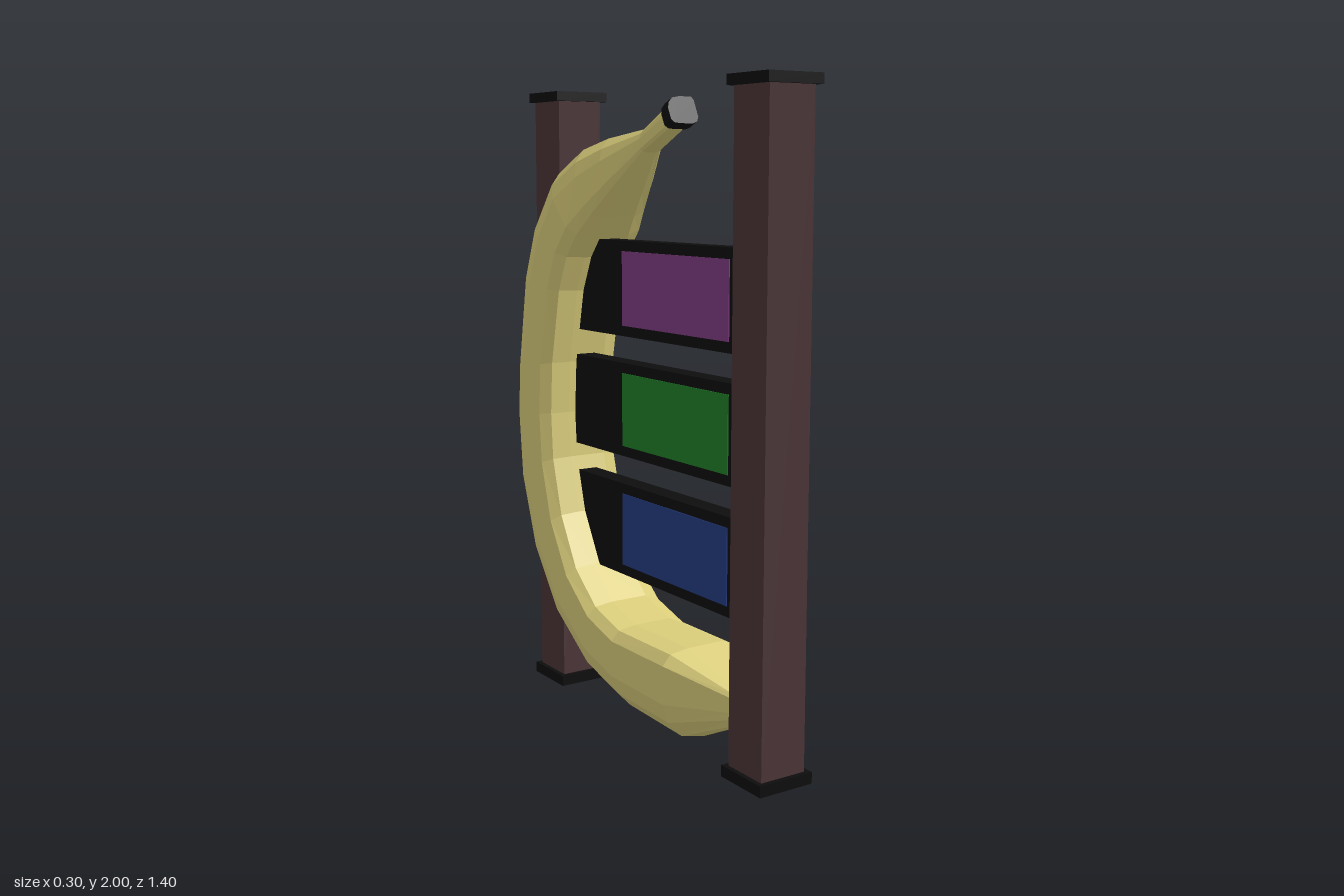
import * as THREE from 'three';

const mat = (color) => new THREE.MeshStandardMaterial({ color, flatShading: true });
const YELLOW = mat(0xd9cc7a), BLACK = mat(0x0d0d0d), WOOD = mat(0x4a3436);

// Cross-section: x as a fraction of the half width, s from inner (0) to outer (1) side of the curve
const SECTION = [
  [-0.82, 0.03], [-0.4, 0], [0.47, 0], [0.82, 0.08], [1, 0.25], [1, 0.88], [0.86, 1],
  [0, 1], [-0.53, 0.94], [-0.86, 0.76], [-1, 0.55], [-1, 0.14],
];

// Skins the section along stations [innerZ, innerY, outerZ, outerY, halfWidth]
function loft(name, stations, material) {
  const n = SECTION.length, pos = [], index = [];
  for (const [iz, iy, oz, oy, w] of stations) {
    for (const [x, s] of SECTION) pos.push(x * w, iy + (oy - iy) * s, iz + (oz - iz) * s);
  }
  for (let i = 0; i < stations.length - 1; i++) {
    for (let j = 0; j < n; j++) {
      const a = i * n + j, b = i * n + (j + 1) % n;
      index.push(a, b, a + n, b, b + n, a + n);
    }
  }
  const last = (stations.length - 1) * n;
  for (let j = 1; j < n - 1; j++) {
    index.push(0, j + 1, j, last, last + j, last + j + 1);
  }
  const geo = new THREE.BufferGeometry();
  geo.setAttribute('position', new THREE.Float32BufferAttribute(pos, 3));
  geo.setIndex(index);
  geo.computeVertexNormals();
  const mesh = new THREE.Mesh(geo, material);
  mesh.name = name;
  return mesh;
}

// Box given by its minimum and maximum corners
function box(name, min, max, material) {
  const size = max.map((v, i) => v - min[i]);
  const mesh = new THREE.Mesh(new THREE.BoxGeometry(...size), material);
  mesh.position.set(...max.map((v, i) => (v + min[i]) / 2));
  mesh.name = name;
  return mesh;
}

// Square post with a thin cap at both ends
function post(name, z) {
  const g = new THREE.Group();
  g.name = name;
  g.add(
    box('postShaft', [-0.08, 0.03, z - 0.078], [0.075, 1.97, z + 0.078], WOOD),
    box('postFoot', [-0.095, 0, z - 0.093], [0.092, 0.035, z + 0.093], BLACK),
    box('postCap', [-0.095, 1.97, z - 0.093], [0.092, 2, z + 0.093], BLACK),
  );
  return g;
}

export function createModel() {
  const model = new THREE.Group();
  model.name = 'bananaSign';
  model.add(post('frontPost', 0.607), post('backPost', -0.5));

  // Boards, each with a coloured panel on one face
  [[0.455, 0x243a80], [0.845, 0x1f7d28], [1.23, 0x7d3a80]].forEach(([y, color], i) => {
    const g = new THREE.Group();
    g.name = `board${i + 1}`;
    g.add(
      box('boardBody', [-0.035, y, -0.44], [0.032, y + 0.3, 0.54], BLACK),
      box('colourPanel', [-0.038, y + 0.033, -0.11], [-0.03, y + 0.267, 0.455], mat(color)),
    );
    model.add(g);
  });

  // Banana: body, stem and the two dark ends
  const banana = new THREE.Group();
  banana.name = 'banana';
  banana.add(
    loft('bananaBody', [
      [0.49, 0.235, 0.49, 0.125, 0.045],
      [0.29, 0.32, 0.29, 0.028, 0.15],
      [0, 0.318, 0, 0.038, 0.15],
      [-0.14, 0.36, -0.2, 0.09, 0.15],
      [-0.26, 0.46, -0.42, 0.23, 0.15],
      [-0.35, 0.62, -0.58, 0.43, 0.15],
      [-0.4, 0.8, -0.675, 0.68, 0.15],
      [-0.41, 0.95, -0.7, 0.92, 0.15],
      [-0.4, 1.12, -0.69, 1.08, 0.15],
      [-0.35, 1.36, -0.64, 1.4, 0.15],
      [-0.3, 1.47, -0.57, 1.58, 0.15],
      [-0.24, 1.54, -0.44, 1.75, 0.148],
      [-0.19, 1.6, -0.3, 1.825, 0.125],
      [-0.12, 1.675, -0.17, 1.855, 0.095],
      [0, 1.8, -0.01, 1.873, 0.04],
    ], YELLOW),
    loft('bananaStem', [
      [0, 1.8, -0.01, 1.873, 0.04],
      [0.15, 1.87, 0.115, 1.937, 0.036],
    ], YELLOW),
    loft('stemEnd', [
      [0.152, 1.865, 0.111, 1.945, 0.05],
      [0.187, 1.881, 0.148, 1.961, 0.05],
    ], BLACK),
    loft('bottomTip', [
      [0.535, 0.21, 0.535, 0.145, 0.034],
      [0.49, 0.235, 0.49, 0.125, 0.046],
    ], BLACK),
  );
  model.add(banana);
  return model;
}
